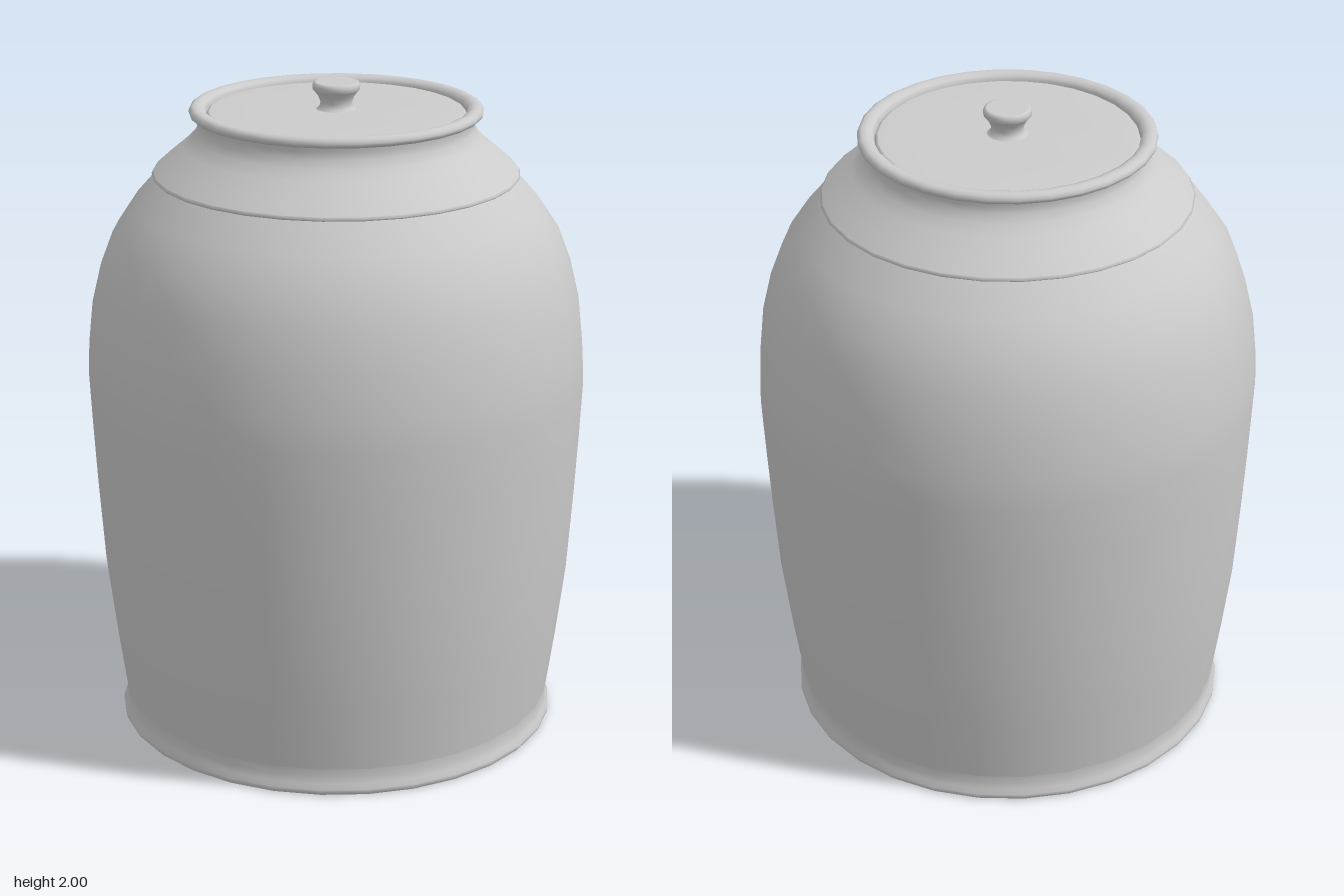
import * as THREE from 'three';

const SEGMENTS = 30;

export function createModel() {
  const group = new THREE.Group();
  group.name = 'lidded jar';
  const material = new THREE.MeshStandardMaterial({ color: 0xcccccc, side: THREE.DoubleSide });

  // Revolve a profile of [radius, height] pairs listed from bottom to top
  function turned(name, profile, segments = SEGMENTS) {
    const points = profile.map(([r, y]) => new THREE.Vector2(r, y));
    const mesh = new THREE.Mesh(new THREE.LatheGeometry(points, segments), material);
    mesh.name = name;
    group.add(mesh);
  }

  // Flat underside and flared foot
  turned('base', [[0, 0], [0.67, 0]]);
  turned('foot', [[0.67, 0], [0.676, 0.008], [0.676, 0.018], [0.669, 0.034], [0.664, 0.055], [0.665, 0.08]]);

  // Swelling body
  turned('body', [
    [0.665, 0.08], [0.693, 0.28], [0.72, 0.5], [0.737, 0.75], [0.747, 0.93], [0.755, 1.1],
    [0.751, 1.2], [0.737, 1.33], [0.708, 1.45], [0.67, 1.55], [0.61, 1.64], [0.535, 1.725],
  ]);

  // Shoulder collar with a small overhanging edge
  turned('collarEdge', [[0.53, 1.722], [0.545, 1.722], [0.55, 1.727], [0.545, 1.734]]);
  turned('collar', [
    [0.545, 1.734], [0.505, 1.77], [0.455, 1.812], [0.427, 1.84], [0.413, 1.865], [0.411, 1.885], [0.414, 1.902],
  ]);

  // Rounded mouth rim
  turned('rim', [
    [0.41, 1.902], [0.428, 1.902], [0.435, 1.908], [0.437, 1.916], [0.433, 1.926],
    [0.423, 1.932], [0.408, 1.932], [0.393, 1.926], [0.387, 1.914], [0.387, 1.9],
  ]);

  // Recessed lid
  turned('lid', [[0.387, 1.9], [0.383, 1.91], [0.375, 1.915], [0.25, 1.917], [0, 1.919]]);

  // Knob: flared stem, rounded head and flat top
  turned('knobStem', [[0.062, 1.917], [0.05, 1.925], [0.047, 1.94], [0.054, 1.958], [0.064, 1.972]]);
  turned('knobHead', [[0.064, 1.972], [0.07, 1.978], [0.071, 1.99], [0.067, 1.998], [0.062, 2]]);
  turned('knobTop', [[0.062, 2], [0, 2]]);

  return group;
}
